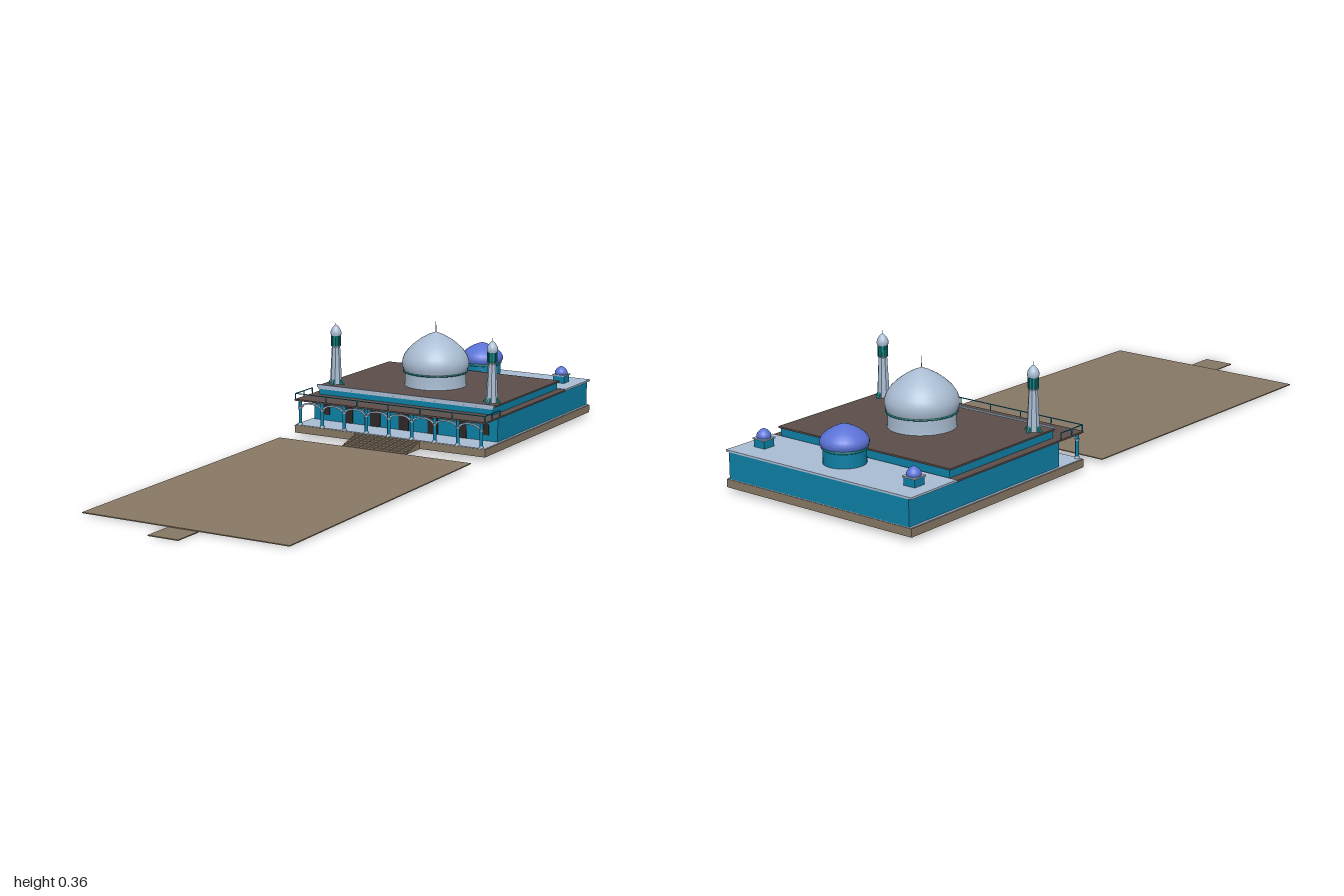
import * as THREE from 'three';

const mat = (name, color) => {
  const m = new THREE.MeshStandardMaterial({ color });
  m.name = name;
  return m;
};

export function createModel() {
  const root = new THREE.Group();
  root.name = 'domedHall';
  const blue = mat('blue tile', 0x0d7fa5);
  const teal = mat('teal trim', 0x0e8584);
  const pale = mat('pale stone', 0xa9bcd2);
  const brown = mat('brown roof', 0x5c4e4a);
  const sand = mat('sand paving', 0x877864);
  const dark = mat('dark opening', 0x2d2727);
  const violet = mat('violet dome', 0x5a72d6);

  const add = (name, geo, m, x = 0, y = 0, z = 0, parent = root) => {
    const mesh = new THREE.Mesh(geo, m);
    mesh.name = name;
    mesh.position.set(x, y, z);
    parent.add(mesh);
    return mesh;
  };
  // box given by its limits
  const block = (name, m, x0, x1, y0, y1, z0, z1, parent = root) =>
    add(name, new THREE.BoxGeometry(x1 - x0, y1 - y0, z1 - z0), m,
      (x0 + x1) / 2, (y0 + y1) / 2, (z0 + z1) / 2, parent);
  const lathe = (pts, seg = 32) =>
    new THREE.LatheGeometry(pts.map(([r, y]) => new THREE.Vector2(r, y)), seg);
  const tube = (r1, r0, h, seg) => {
    const g = new THREE.CylinderGeometry(r1, r0, h, seg);
    g.translate(0, h / 2, 0);
    return g;
  };
  // pointed dome profile, unit radius and height
  const domePoints = (r, h) => [
    [0.95, 0], [1, 0.12], [1, 0.26], [0.94, 0.4], [0.83, 0.54],
    [0.66, 0.68], [0.46, 0.81], [0.23, 0.92], [0, 1],
  ].map(([a, b]) => [a * r, b * h]);
  const dome = (name, m, r, h, x, y, z, seg = 32, parent = root) =>
    add(name, lathe(domePoints(r, h), seg), m, x, y, z, parent);

  // courtyard, falling gently toward the front
  const yard = new THREE.BoxGeometry(0.69, 0.003, 1.045);
  const p = yard.attributes.position;
  for (let i = 0; i < p.count; i++) p.setY(i, p.getY(i) - p.getZ(i) * 0.0085);
  yard.computeVertexNormals();
  add('courtyard', yard, sand, 0, 0.0085, 0.38);
  block('courtyardEntry', sand, -0.05, 0.05, 0, 0.003, 0.9, 1);

  // plinth, porch floor and front steps
  block('plinth', sand, -0.345, 0.345, 0.013, 0.0375, -1, -0.235);
  block('floor', pale, -0.343, 0.343, 0.0375, 0.0395, -0.998, -0.237);
  const steps = 6;
  for (let i = 0; i < steps; i++) {
    block('step', sand, -0.115, 0.115, 0.012, 0.0155 + i * 0.004,
      -0.236, -0.145 - i * 0.015);
  }

  // main hall, rear terrace and upper storey
  block('hallWalls', blue, -0.335, 0.335, 0.039, 0.12, -0.998, -0.34);
  block('rearRoof', pale, -0.345, 0.345, 0.119, 0.125, -1, -0.81);
  block('lowerRoof', brown, -0.345, 0.345, 0.118, 0.123, -0.81, -0.235);
  block('upperWalls', blue, -0.316, 0.316, 0.122, 0.148, -0.805, -0.343);
  block('upperRoof', brown, -0.322, 0.322, 0.147, 0.152, -0.81, -0.342);
  block('frontCornice', pale, -0.322, 0.322, 0.147, 0.156, -0.343, -0.336);
  block('corniceBand', pale, -0.318, 0.318, 0.141, 0.146, -0.344, -0.34);

  // doors and windows
  for (const x of [-0.207, -0.105, 0, 0.105, 0.207]) {
    block('door', dark, x - 0.0185, x + 0.0185, 0.0395, 0.098, -0.341, -0.338);
  }
  for (const s of [-1, 1]) {
    block('window', dark, s * 0.29 - 0.0145, s * 0.29 + 0.0145, 0.058, 0.094, -0.341, -0.338);
  }

  // porch columns
  const zc = -0.243, pitch = 0.082;
  for (let i = -4; i <= 4; i++) {
    const x = i * pitch;
    add('column', tube(0.0055, 0.0055, 0.079, 12), blue, x, 0.0395, zc);
    add('columnBase', tube(0.0065, 0.0075, 0.006, 12), pale, x, 0.0395, zc);
    add('columnCapital', tube(0.008, 0.006, 0.006, 12), pale, x, 0.093, zc);
  }
  // flattened arches between the columns
  const arch = new THREE.Shape();
  arch.moveTo(0.039, 0);
  arch.absellipse(0, 0, 0.039, 0.0165, 0, Math.PI, false);
  arch.lineTo(-0.032, 0);
  arch.absellipse(0, 0, 0.032, 0.0115, Math.PI, 0, true);
  const archGeo = new THREE.ExtrudeGeometry(arch, { depth: 0.006, bevelEnabled: false, curveSegments: 16 });
  for (let i = 0; i < 8; i++) add('arch', archGeo, pale, (i - 3.5) * pitch, 0.098, zc - 0.003);

  // porch railing
  block('frontRail', blue, -0.343, 0.343, 0.1405, 0.143, -0.238, -0.2355);
  for (let i = -3; i <= 3; i++) {
    const x = i * 0.114;
    block('railPost', blue, x - 0.0013, x + 0.0013, 0.122, 0.142, -0.238, -0.2355);
  }
  for (const s of [-1, 1]) {
    const x = s * 0.3417;
    block('sideRail', blue, x - 0.0013, x + 0.0013, 0.1405, 0.143, -0.34, -0.2355);
    for (const z of [-0.288, -0.339]) {
      block('railPost', blue, x - 0.0013, x + 0.0013, 0.122, 0.142, z - 0.0013, z + 0.0013);
    }
  }

  // main dome
  const zd = -0.55;
  add('mainDrum', lathe([[0.102, 0.15], [0.1, 0.158], [0.1, 0.195]]), pale, 0, 0, zd);
  add('mainDrumRing', lathe([[0.1, 0.194], [0.106, 0.196], [0.106, 0.2], [0.1, 0.202]]), teal, 0, 0, zd);
  dome('mainDome', pale, 0.109, 0.127, 0, 0.2, zd);
  add('mainFinial', tube(0.0008, 0.0015, 0.035, 8), pale, 0, 0.325, zd);

  // minarets
  const fin = new THREE.Shape();
  fin.moveTo(0.01, 0);
  fin.lineTo(0.03, 0);
  fin.lineTo(0.021, 0.012);
  fin.lineTo(0.01, 0.03);
  const finGeo = new THREE.ExtrudeGeometry(fin, { depth: 0.008, bevelEnabled: false });
  finGeo.translate(0, 0, -0.004);
  for (const s of [-1, 1]) {
    const g = new THREE.Group();
    g.name = 'minaret';
    g.position.set(s * 0.285, 0.151, -0.395);
    root.add(g);
    const shaft = tube(0.0135, 0.02, 0.127, 8).toNonIndexed();
    shaft.computeVertexNormals();
    shaft.rotateY(Math.PI / 8);
    add('shaft', shaft, pale, 0, 0, 0, g);
    for (let i = 0; i < 4; i++) {
      add('baseFin', finGeo, teal, 0, 0, 0, g).rotation.y = i * Math.PI / 2;
    }
    add('gallery', tube(0.0165, 0.0135, 0.005, 16), pale, 0, 0.123, 0, g);
    add('lantern', tube(0.013, 0.013, 0.036, 16), teal, 0, 0.127, 0, g);
    for (let i = 0; i < 8; i++) {
      const a = (i + 0.5) * Math.PI / 4;
      add('lanternPost', tube(0.0018, 0.0018, 0.036, 6), teal,
        Math.cos(a) * 0.0145, 0.127, Math.sin(a) * 0.0145, g);
    }
    add('lanternTop', tube(0.0165, 0.0165, 0.003, 16), pale, 0, 0.161, 0, g);
    dome('minaretDome', pale, 0.0178, 0.034, 0, 0.163, 0, 16, g);
    add('minaretFinial', tube(0.0005, 0.001, 0.011, 6), pale, 0, 0.195, 0, g);
  }

  // rear dome on its tiled drum
  add('rearDrum', tube(0.062, 0.062, 0.055, 32), blue, 0, 0.124, -0.88);
  add('rearDrumRing', lathe([[0.062, 0.166], [0.066, 0.169], [0.066, 0.175], [0.062, 0.178]]), teal, 0, 0, -0.88);
  dome('rearDome', violet, 0.07, 0.064, 0, 0.175, -0.88);

  // small corner cupolas
  for (const s of [-1, 1]) {
    const x = s * 0.28, z = -0.912;
    block('cupolaBase', blue, x - 0.02, x + 0.02, 0.124, 0.148, z - 0.02, z + 0.02);
    block('cupolaLedge', pale, x - 0.023, x + 0.023, 0.148, 0.152, z - 0.023, z + 0.023);
    dome('cupolaDome', violet, 0.021, 0.028, x, 0.152, z, 20);
  }
  return root;
}
